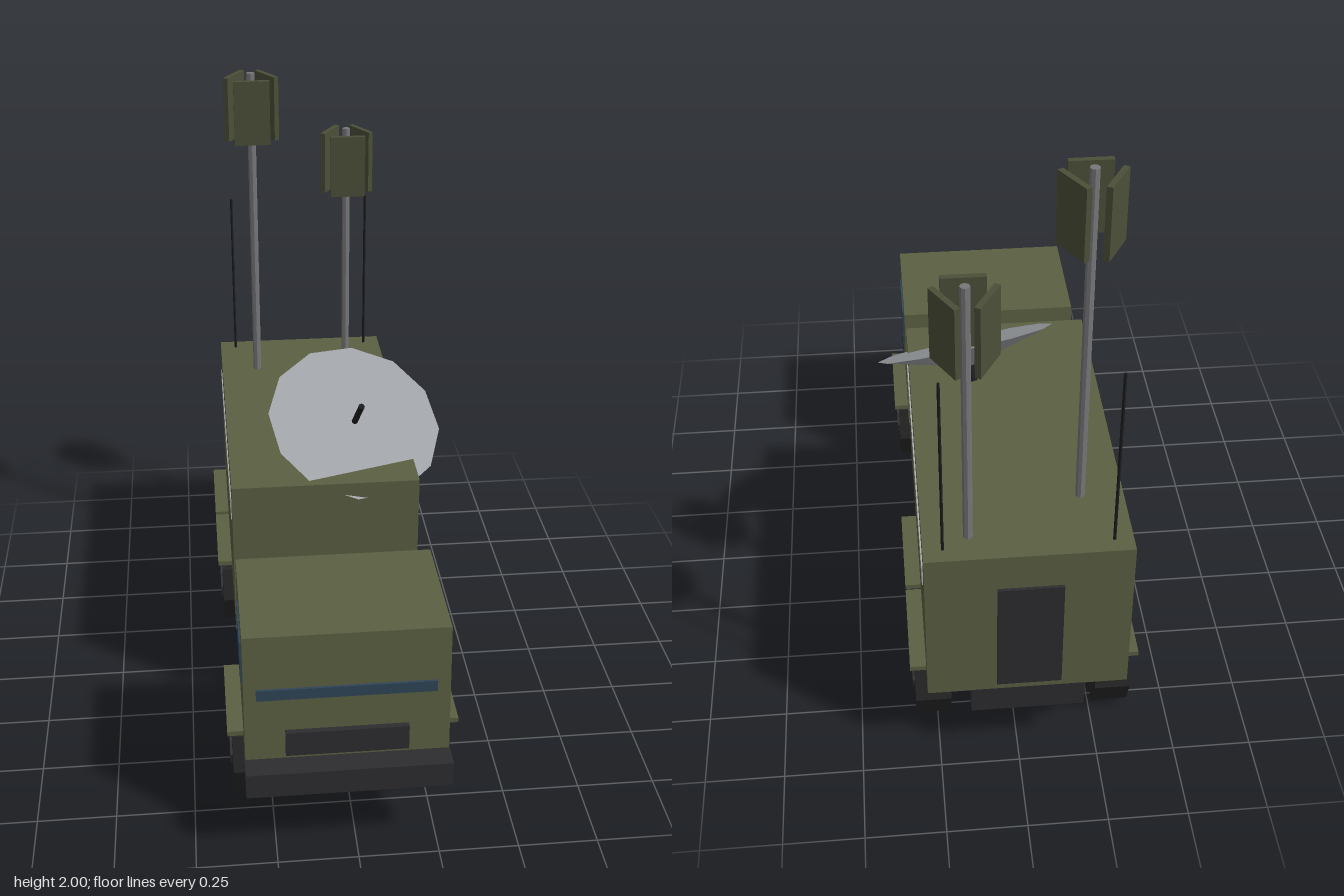
import * as THREE from 'three';

const mat = (color) => new THREE.MeshStandardMaterial({ color, flatShading: true });

export function createModel() {
  const root = new THREE.Group();
  const olive = mat(0x5b5f42), panelGreen = mat(0x4b4f38), frame = mat(0x2d2d30), tyre = mat(0x242425);
  const hubGrey = mat(0x363638), glass = mat(0x2f4558), pale = mat(0xb0b0b0), steel = mat(0x77777a);
  const dishGrey = mat(0xa0a4a8), black = mat(0x1c1c1e);
  const CX = -0.026; // centre line of the vehicle

  const add = (name, geo, material, parent = root) => {
    const m = new THREE.Mesh(geo, material);
    m.name = name;
    parent.add(m);
    return m;
  };
  // Box given by its extents on each axis
  const box = (name, x, y, z, material, parent) => {
    const m = add(name, new THREE.BoxGeometry(x[1] - x[0], y[1] - y[0], z[1] - z[0]), material, parent);
    m.position.set((x[0] + x[1]) / 2, (y[0] + y[1]) / 2, (z[0] + z[1]) / 2);
    return m;
  };
  // Upright or axial rod between two heights
  const rod = (name, r, y0, y1, sides, material, parent) => {
    const m = add(name, new THREE.CylinderGeometry(r, r, y1 - y0, sides), material, parent);
    m.position.y = (y0 + y1) / 2;
    return m;
  };

  // Chassis, bumper and equipment shelter
  box('chassis', [-0.205, 0.15], [0.21, 0.306], [-0.965, 0.755], frame);
  box('bumper', [-0.34, 0.288], [0.24, 0.325], [0.895, 0.975], frame);
  box('shelter', [-0.338, 0.285], [0.305, 0.865], [-0.965, 0.2], olive);
  box('rearDoor', [-0.13, 0.07], [0.335, 0.74], [-0.975, -0.96], frame);

  // Cab with sloping front and back
  const profile = new THREE.Shape([[0.905, 0.27], [0.87, 0.75], [0.445, 0.75], [0.405, 0.27]]
    .map(([z, y]) => new THREE.Vector2(z, y)));
  const cabGeo = new THREE.ExtrudeGeometry(profile, { depth: 0.623, bevelEnabled: false });
  cabGeo.translate(0, 0, -0.3115).rotateY(-Math.PI / 2).translate(CX, 0, 0);
  add('cab', cabGeo, olive);
  box('windscreen', [-0.3, 0.245], [0.535, 0.572], [0.86, 0.891], glass);
  box('grille', [-0.215, 0.16], [0.34, 0.425], [0.88, 0.912], frame);

  // Parts repeated on both sides
  for (const s of [-1, 1]) {
    const label = s > 0 ? 'left' : 'right';
    const side = new THREE.Group();
    side.name = label + 'Side';
    side.position.x = CX;
    root.add(side);
    const span = (a, b) => (s > 0 ? [a, b] : [-b, -a]);
    box(label + 'Window', span(0.3, 0.317), [0.535, 0.68], [0.57, 0.795], glass, side);
    box(label + 'Stripe', span(0.3, 0.315), [0.7, 0.78], [-0.89, 0.12], pale, side);
    for (const [z0, z1] of [[0.435, 0.775], [-0.525, -0.19], [-0.88, -0.545]])
      box(label + 'Fender', span(0.225, 0.362), [0.316, 0.333], [z0, z1], olive, side);
    for (const z of [0.605, -0.355, -0.71]) {
      const wheel = new THREE.Group();
      wheel.name = label + 'Wheel';
      wheel.position.set(s * 0.29, 0.152, z);
      wheel.rotation.z = -s * Math.PI / 2;
      side.add(wheel);
      rod('tyre', 0.152, -0.057, 0.057, 8, tyre, wheel);
      rod('hub', 0.066, 0.04, 0.064, 8, hubGrey, wheel);
    }
  }

  // Masts, each carrying three panel antennas
  for (const [x, z, top] of [[-0.205, -0.715, 2.0], [0.148, -0.865, 1.75]]) {
    const mast = new THREE.Group();
    mast.name = 'antennaMast';
    mast.position.set(x, 0, z);
    root.add(mast);
    rod('mastPole', 0.0145, 0.86, top, 8, steel, mast);
    for (let i = 0; i < 3; i++) {
      const arm = new THREE.Group();
      arm.name = 'panelMount';
      arm.rotation.y = i * Math.PI * 2 / 3;
      mast.add(arm);
      box('panelAntenna', [-0.0625, 0.0625], [top - 0.237, top - 0.012], [0.057, 0.075], panelGreen, arm);
    }
  }

  // Whip aerials at the rear corners
  for (const x of [-0.28, 0.226]) {
    const whip = rod('whipAerial', 0.005, 0.86, 1.475, 6, black);
    whip.position.x = x;
    whip.position.z = -0.915;
  }

  // Tilted shallow dish with its feed and mount along the axis
  const dish = new THREE.Group();
  dish.name = 'dishAssembly';
  dish.position.set(0.095, 0.967, -0.045);
  dish.quaternion.setFromUnitVectors(new THREE.Vector3(0, 1, 0), new THREE.Vector3(0.17, 0.83, 0.53).normalize());
  root.add(dish);
  const bowl = new THREE.CylinderGeometry(0.3, 0.002, 0.08, 12);
  bowl.translate(0, -0.04, 0);
  add('dish', bowl, dishGrey, dish);
  rod('dishFeed', 0.011, 0, 0.1, 8, black, dish);
  rod('dishMount', 0.016, -0.13, -0.05, 8, black, dish);

  return root;
}
